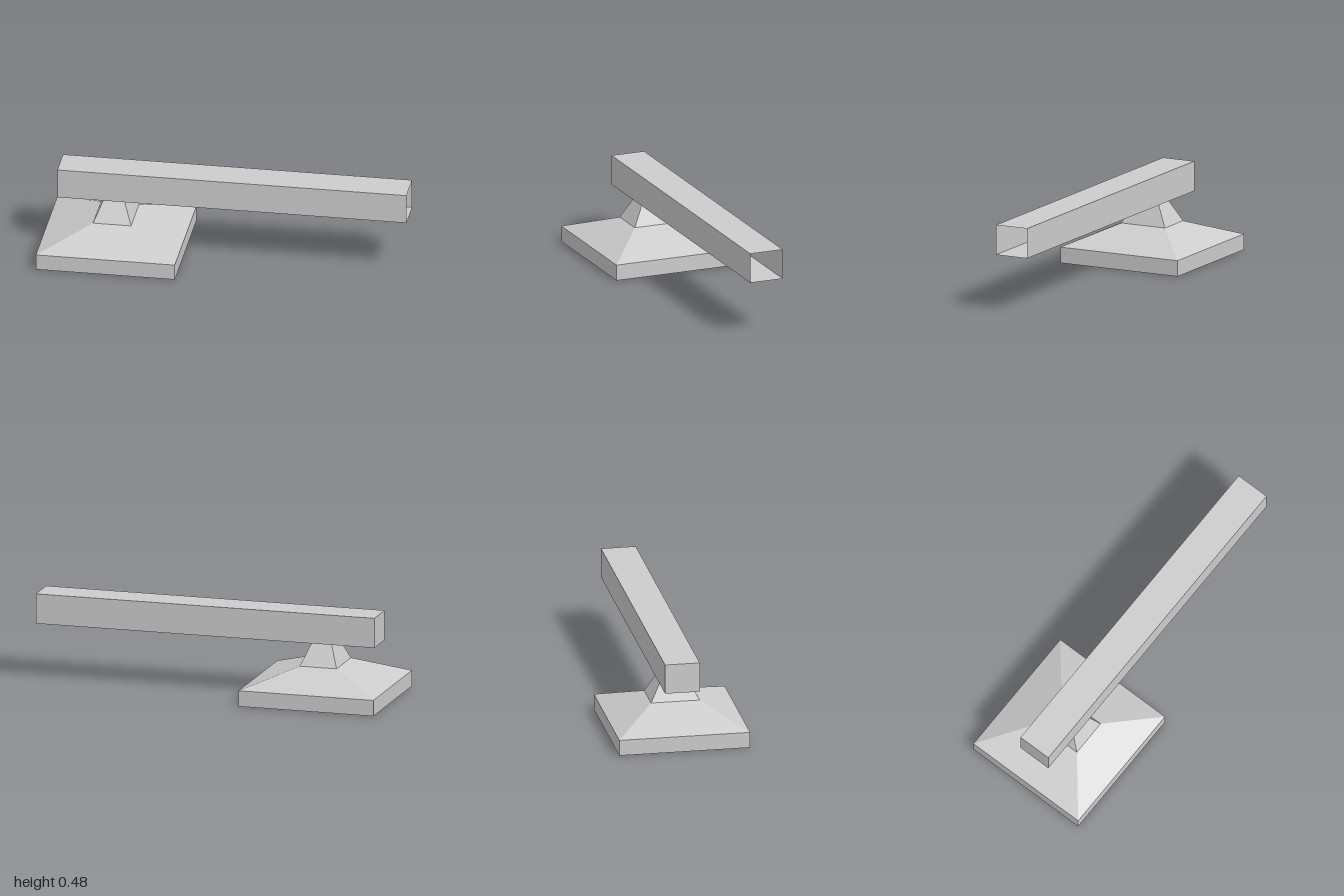
import * as THREE from 'three';

// Stack of rectangular rings [centreX, halfX, halfZ, y] joined by flat faces
function rectLoft(rings, capStart, capEnd) {
  const corners = rings.map(([cx, hx, hz, y]) => [
    [cx - hx, y, hz], [cx + hx, y, hz], [cx + hx, y, -hz], [cx - hx, y, -hz],
  ]);
  const pos = [];
  const quad = (a, b, c, d) => pos.push(...a, ...b, ...c, ...a, ...c, ...d);
  for (let r = 0; r < corners.length - 1; r++) {
    const lo = corners[r], hi = corners[r + 1];
    for (let i = 0; i < 4; i++) {
      const j = (i + 1) % 4;
      quad(lo[i], lo[j], hi[j], hi[i]);
    }
  }
  if (capStart) quad(...[...corners[0]].reverse());
  if (capEnd) quad(...corners[corners.length - 1]);
  const geo = new THREE.BufferGeometry();
  geo.setAttribute('position', new THREE.Float32BufferAttribute(pos, 3));
  geo.computeVertexNormals();
  return geo;
}

export function createModel() {
  const group = new THREE.Group();
  const grey = new THREE.MeshStandardMaterial({ color: 0xcccccc, side: THREE.DoubleSide });
  grey.name = 'light grey';

  const add = (name, geo) => {
    const mesh = new THREE.Mesh(geo, grey);
    mesh.name = name;
    group.add(mesh);
    return mesh;
  };

  const cx = -0.617;

  // Base: shallow recess underneath, rim, upright sides, sloping shoulder
  add('base', rectLoft([
    [cx, 0.345, 0.324, 0.015],
    [cx, 0.345, 0.324, 0],
    [cx, 0.383, 0.362, 0],
    [cx, 0.383, 0.362, 0.088],
    [cx, 0.105, 0.135, 0.192],
  ], true, false));

  // Tapered neck up to the beam
  add('neck', rectLoft([
    [cx, 0.105, 0.135, 0.192],
    [cx, 0.055, 0.067, 0.314],
  ], false, true));

  // Hollow square beam, open at its +x end (first box face left out)
  const beamGeo = new THREE.BoxGeometry(1.925, 0.166, 0.192);
  beamGeo.setIndex(Array.from(beamGeo.index.array).slice(6));
  beamGeo.clearGroups();
  add('beam', beamGeo).position.set(0.0375, 0.397, 0.001);

  return group;
}
